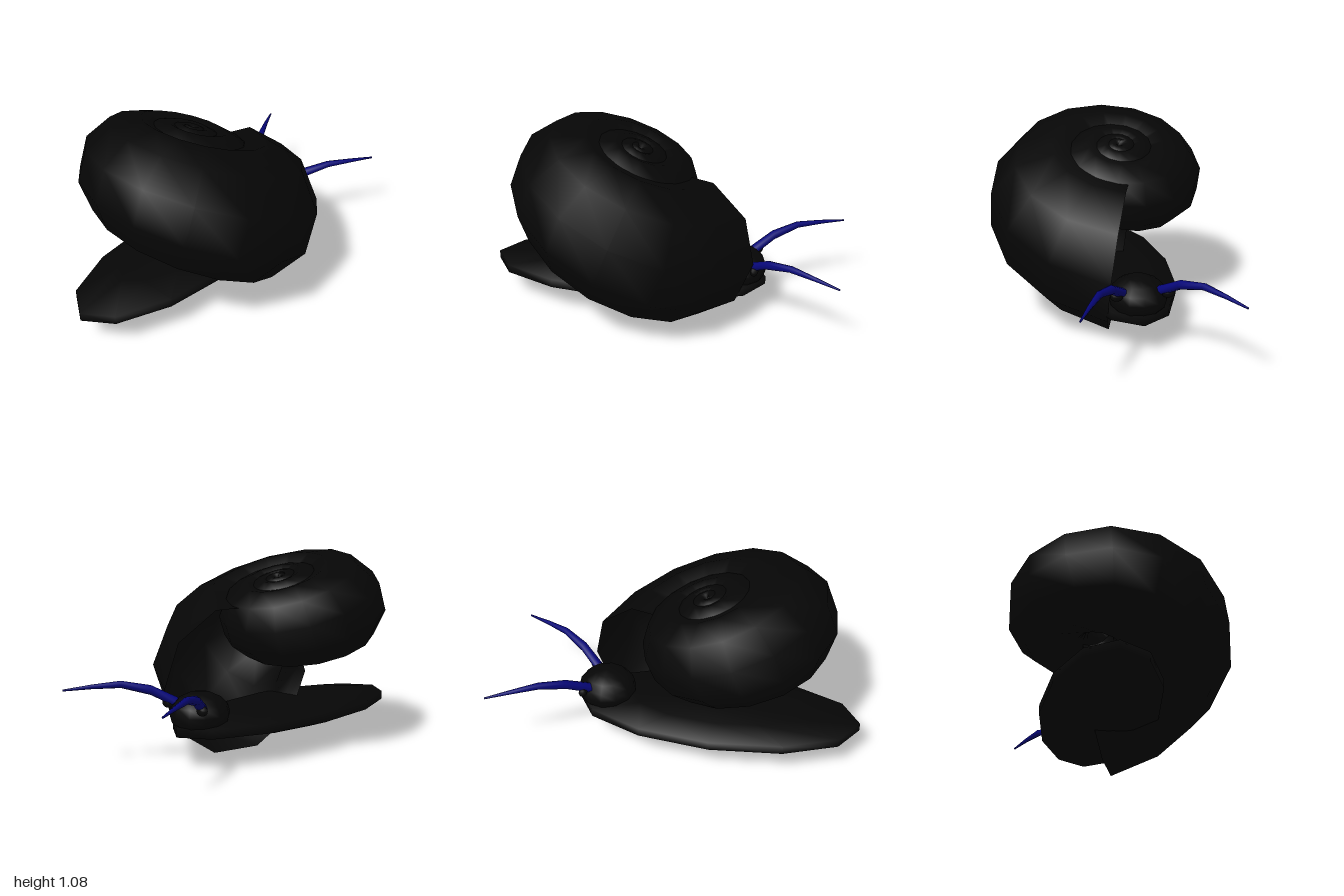
import * as THREE from 'three';

const black = new THREE.MeshStandardMaterial({ color: 0x060606, side: THREE.DoubleSide });
black.name = 'black';
const blue = new THREE.MeshStandardMaterial({ color: 0x060678, side: THREE.DoubleSide });
blue.name = 'darkBlue';

// Skins a list of closed rings that share one point count
function skin(rings) {
  const n = rings[0].length;
  const index = [];
  for (let i = 0; i < rings.length - 1; i++) {
    for (let j = 0; j < n; j++) {
      const a = i * n + j, b = i * n + (j + 1) % n;
      index.push(a, b, a + n, b, b + n, a + n);
    }
  }
  const geo = new THREE.BufferGeometry();
  geo.setFromPoints(rings.flat());
  geo.setIndex(index);
  geo.computeVertexNormals();
  return geo;
}

// Tapering spiral tube wound about a tilted axis through its apex
function shellGeometry() {
  const apex = new THREE.Vector3(-0.135, 0.95, -0.12);
  const U = new THREE.Vector3(0.932, -0.362, 0);
  const N = new THREE.Vector3(0.362, 0.932, 0);
  const V = new THREE.Vector3(0, 0, 1);
  const sides = 10, slant = 0.22, step = 24;
  const rings = [];
  for (let i = 0; i <= 54; i++) {
    const angle = THREE.MathUtils.degToRad(6 + step * i);
    const size = 0.86 * Math.pow(0.825, i * step / 90);
    const r = 0.49 * size, c = 0.515 * size;
    const ring = [];
    for (let j = 0; j < sides; j++) {
      const t = Math.PI / 2 + (j / sides) * Math.PI * 2;
      // outer edge leans back along the coil
      const out = c + r * Math.cos(t) * Math.cos(slant);
      const lean = r * Math.cos(t) * Math.sin(slant);
      ring.push(apex.clone()
        .addScaledVector(U, out * Math.cos(angle) - lean * Math.sin(angle))
        .addScaledVector(V, out * Math.sin(angle) + lean * Math.cos(angle))
        .addScaledVector(N, -0.5 * size - r * Math.sin(t)));
    }
    rings.push(ring);
  }
  return skin(rings);
}

// Bent, tapering feeler; s mirrors it across the body
function feelerGeometry(s) {
  const path = [[0.49, 0.315, 0.095, 0.029], [0.6, 0.385, 0.178, 0.026],
    [0.73, 0.421, 0.262, 0.019], [0.86, 0.416, 0.333, 0.012], [0.99, 0.406, 0.4, 0.005]];
  return skin(path.map(([x, y, z, r]) => Array.from({ length: 8 }, (_, j) => {
    const t = (j / 8) * Math.PI * 2;
    const side = r * Math.cos(t);
    return new THREE.Vector3(x - side * 0.5, y + r * Math.sin(t), s * (z + side * 0.86) - 0.11);
  })));
}

export function createModel() {
  const group = new THREE.Group();
  const add = (name, geo, mat) => {
    const mesh = new THREE.Mesh(geo, mat);
    mesh.name = name;
    group.add(mesh);
    return mesh;
  };

  add('shell', shellGeometry(), black);

  // Flat oval foot
  const profile = [[0, 0.105], [0.2, 0.107], [0.62, 0.12], [1, 0.162], [1, 0.21],
    [0.62, 0.25], [0.2, 0.265], [0, 0.267]].map(([r, y]) => new THREE.Vector2(r, y));
  const foot = add('foot', new THREE.LatheGeometry(profile, 12), black);
  foot.scale.set(0.79, 1, 0.31);
  foot.position.set(-0.21, 0, -0.11);

  // Head
  const head = add('head', new THREE.SphereGeometry(1, 12, 8), black);
  head.scale.set(0.162, 0.115, 0.155);
  head.position.set(0.42, 0.265, -0.11);

  // Eyes and feelers, one per side
  for (const s of [1, -1]) {
    const label = s > 0 ? 'front' : 'back';
    const eye = add(label + 'Eye', new THREE.SphereGeometry(1, 10, 8), black);
    eye.scale.set(0.024, 0.028, 0.035);
    eye.position.set(0.524, 0.315, s * 0.135 - 0.11);
    add(label + 'Feeler', feelerGeometry(s), blue);
  }
  return group;
}
